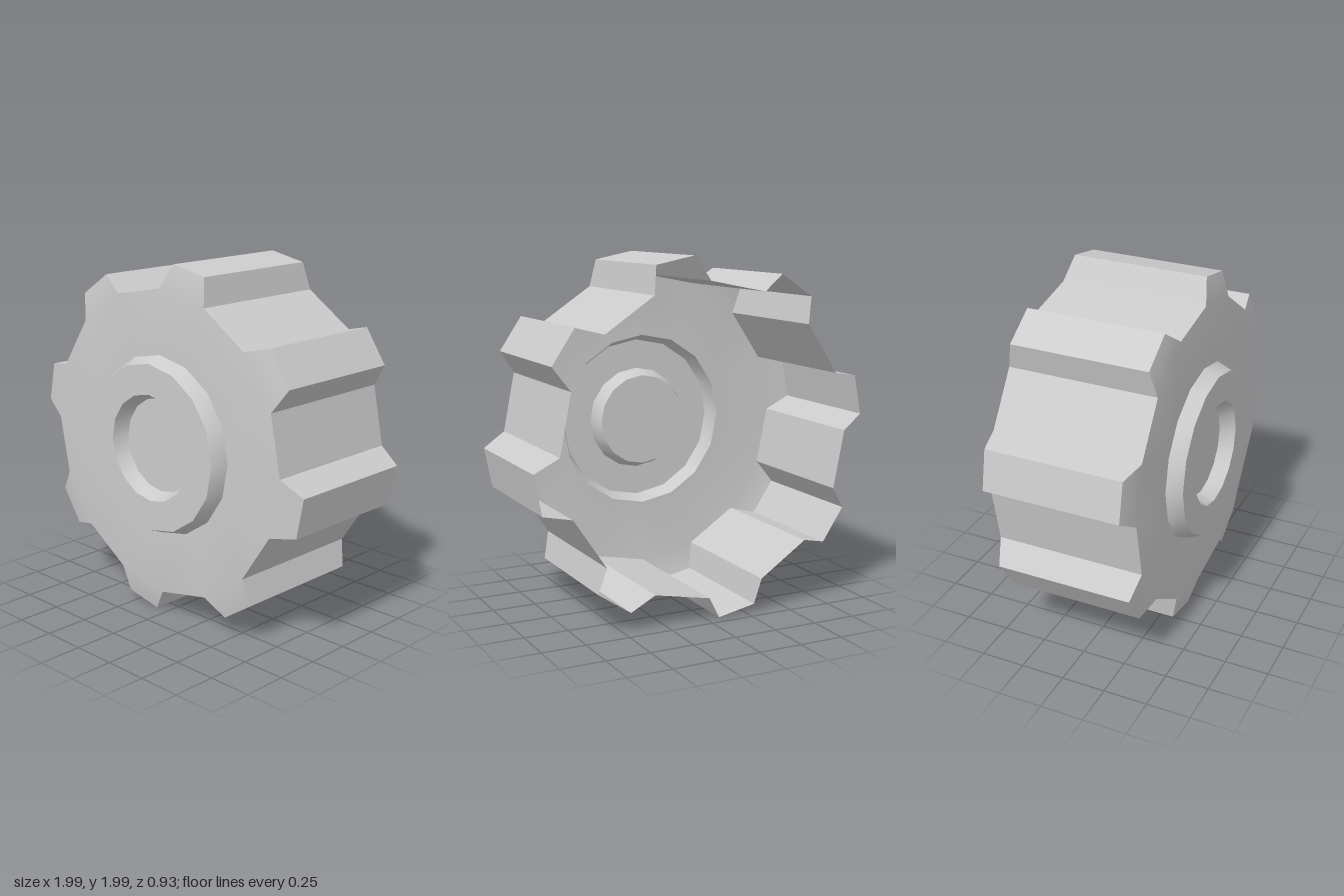
import * as THREE from 'three';
import { toCreasedNormals } from 'three/addons/utils/BufferGeometryUtils.js';

const LUGS = 8;
const STEP = (Math.PI * 2) / LUGS;
const ROOT = 0.865, TIP = 1.0, HUB = 0.505;
const FRONT = 0.38, BACK = -0.465, TIP_FRONT = 0.348, TIP_BACK = -0.43;

// point at a clockwise angle from the top of the wheel
const at = (r, t, z) => [r * Math.sin(t), r * Math.cos(t), z];

// creased geometry from a list of quads, corners anticlockwise
function quadGeometry(quads) {
  const pos = [];
  for (const [a, b, c, d] of quads) pos.push(...a, ...b, ...c, ...a, ...c, ...d);
  const g = new THREE.BufferGeometry();
  g.setAttribute('position', new THREE.Float32BufferAttribute(pos, 3));
  return toCreasedNormals(g, Math.PI / 6);
}

export function createModel() {
  const group = new THREE.Group();
  group.name = 'wheel';
  const mat = new THREE.MeshStandardMaterial({ color: 0xcccccc, side: THREE.DoubleSide });
  const add = (name, geometry) => {
    const mesh = new THREE.Mesh(geometry, mat);
    mesh.name = name;
    mesh.position.y = 1;
    group.add(mesh);
  };

  const tread = [], face = [];
  for (let i = 0; i < LUGS; i++) {
    const t = i * STEP;
    // one lug and the valley after it: [radius, angle, front z, back z]
    const profile = [
      [ROOT, t, FRONT, BACK],
      [TIP, t + 0.08, TIP_FRONT, TIP_BACK],
      [TIP, t + 0.309, TIP_FRONT, TIP_BACK],
      [ROOT, t + STEP / 2, FRONT, BACK],
      [ROOT, t + STEP, FRONT, BACK],
    ];
    const f = profile.map(([r, a, z]) => at(r, a, z));
    const b = profile.map(([r, a, , z]) => at(r, a, z));
    for (let k = 0; k < 4; k++) tread.push([f[k], f[k + 1], b[k + 1], b[k]]);

    // front disc sectors and the sloped end of the lug
    const inner = [0, 0.5, 1].map((s) => at(HUB, t + s * STEP, FRONT));
    face.push([inner[0], inner[1], f[3], f[0]]);
    face.push([inner[1], inner[2], f[4], f[3]]);
    face.push([f[0], f[3], f[2], f[1]]);
  }
  add('tread', quadGeometry(tread));
  add('frontFace', quadGeometry(face));

  // raised hub ring with a recessed centre
  const hubProfile = [[HUB, FRONT], [0.47, 0.465], [0.3, 0.465], [0.265, FRONT], [0, FRONT]]
    .map(([r, z]) => new THREE.Vector2(r, z));
  const hub = new THREE.LatheGeometry(hubProfile, 16).rotateX(Math.PI / 2);
  add('hub', toCreasedNormals(hub, Math.PI / 6));

  return group;
}
